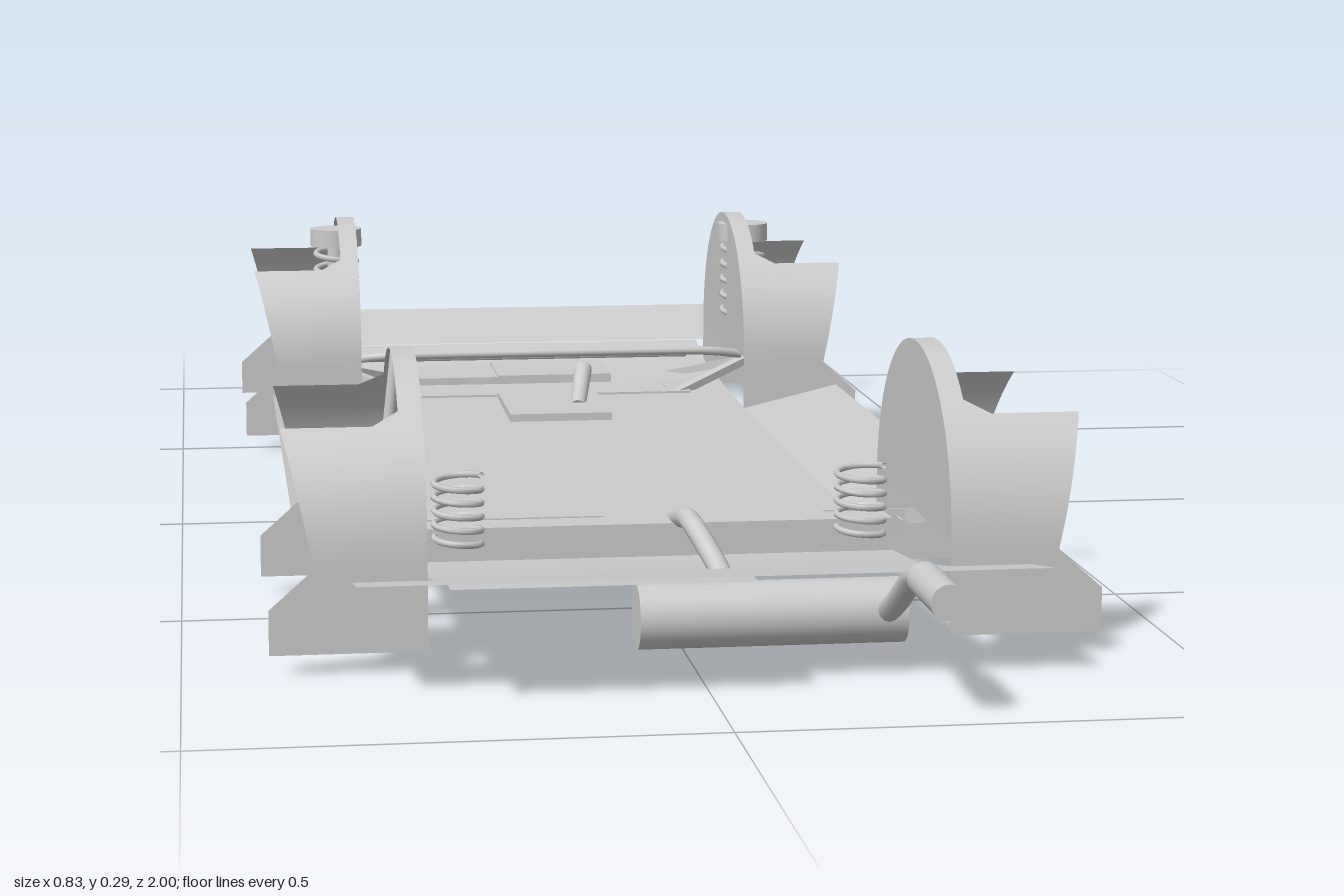
import * as THREE from 'three';

const mat = new THREE.MeshStandardMaterial({ color: 0xcccccc, side: THREE.DoubleSide });
const V = (x, y, z) => new THREE.Vector3(x, y, z);

export function createModel() {
  const root = new THREE.Group();

  function add(name, geo, x = 0, y = 0, z = 0) {
    const m = new THREE.Mesh(geo, mat);
    m.name = name;
    m.position.set(x, y, z);
    root.add(m);
    return m;
  }
  // Box given by its minimum and maximum corners
  function box(name, x0, x1, y0, y1, z0, z1) {
    return add(name, new THREE.BoxGeometry(x1 - x0, y1 - y0, z1 - z0), (x0 + x1) / 2, (y0 + y1) / 2, (z0 + z1) / 2);
  }
  // Round rod (or cone) between two points
  function rod(name, a, b, r0, r1 = r0, sides = 16) {
    const m = add(name, new THREE.CylinderGeometry(r1, r0, a.distanceTo(b), sides));
    m.position.copy(a).lerp(b, 0.5);
    m.quaternion.setFromUnitVectors(V(0, 1, 0), b.clone().sub(a).normalize());
    return m;
  }
  // Square bar between two points
  function bar(name, a, b, w, h) {
    const m = add(name, new THREE.BoxGeometry(w, h, a.distanceTo(b)));
    m.position.copy(a).lerp(b, 0.5);
    m.lookAt(b);
    return m;
  }
  function tube(name, pts, r, n = 40) {
    return add(name, new THREE.TubeGeometry(new THREE.CatmullRomCurve3(pts, false, 'catmullrom', 0.3), n, r, 12));
  }
  function spring(name, x, z, y0, y1, R, turns, r) {
    const pts = [];
    for (let i = 0; i <= turns * 12; i++) {
      const a = i * Math.PI / 6;
      pts.push(V(x + R * Math.cos(a), y0 + (y1 - y0) * i / (turns * 12), z + R * Math.sin(a)));
    }
    add(name, new THREE.TubeGeometry(new THREE.CatmullRomCurve3(pts), turns * 20, r, 6));
  }
  // Sheet made of cross rows: [x0, y0, x1, y1, z]
  function sheet(name, rows) {
    const pos = [], idx = [];
    rows.forEach(([x0, y0, x1, y1, z], i) => {
      pos.push(x0, y0, z, x1, y1, z);
      const k = 2 * i;
      if (i) idx.push(k - 2, k, k - 1, k - 1, k, k + 1);
    });
    const g = new THREE.BufferGeometry();
    g.setAttribute('position', new THREE.Float32BufferAttribute(pos, 3));
    g.setIndex(idx);
    g.computeVertexNormals();
    return add(name, g);
  }
  const flatRow = (z, y, w = 0.255) => [-w, y, w, y, z];

  // Floor pan with wide end panels
  sheet('floorPan', [[-0.87, 0.085], [-0.78, 0.066], [-0.6, 0.058], [-0.44, 0.055], [0.34, 0.055],
    [0.5, 0.06], [0.62, 0.073], [0.77, 0.102], [0.86, 0.118]].map(([z, y]) => flatRow(z, y)));
  sheet('frontPanel', [flatRow(-1, 0.12, 0.335), flatRow(-0.875, 0.085, 0.335)]);
  sheet('rearPanel', [flatRow(0.77, 0.102, 0.335), flatRow(0.86, 0.118, 0.335)]);
  sheet('rearLip', [[-0.25, 0.118, 0.04, 0.118, 0.86], [-0.25, 0.122, 0.04, 0.122, 0.9]]);

  for (const s of [1, -1]) {
    // Upturned floor sides
    sheet('floorSide', [-0.44, 0.34].map(z => [s * 0.255, 0.055, s * 0.38, 0.085, z]));

    // Wheel arches: half-round wall, liners and flared flaps
    for (const c of [0.565, -0.655]) {
      const R = 0.177;
      const wall = add('archWall', new THREE.CircleGeometry(R, 40, 0, Math.PI), s * 0.26, 0.12, c);
      wall.rotation.y = Math.PI / 2;
      for (const d of [1, -1]) {
        const rows = [[0.415, 0.025], [0.415, 0.07], [0.37, 0.11]].map(([x, y]) => [s * 0.26, y, s * x, y, c + d * R]);
        const arc = (a, x) => {
          const y = 0.12 + R * Math.sin(a);
          return [s * 0.26, y, s * x, y, c + d * R * Math.cos(a)];
        };
        for (let i = 0; i <= 8; i++) rows.push(arc(0.75 * i / 8, 0.372 + 0.028 * i / 8));
        sheet('archLiner', rows);
        const rim = [];
        for (let i = 0; i <= 8; i++) rim.push(arc(0.75 + (Math.PI / 2 - 0.75) * i / 8, i ? 0.284 : 0.31));
        sheet('archRim', rim);
      }
    }

    // Front strut, coil spring, top mount and lower arm
    const zs = -0.645;
    rod('strut', V(s * 0.285, 0.1, zs), V(s * 0.285, 0.28, zs), 0.012);
    spring('strutSpring', s * 0.285, zs, 0.15, 0.26, 0.028, 5, 0.004);
    rod('strutMount', V(s * 0.285, 0.26, zs), V(s * 0.285, 0.284, zs), 0.035, 0.035, 24);
    bar('lowerArm', V(s * 0.18, 0.055, -0.73), V(s * 0.29, 0.09, zs), 0.014, 0.01);
    bar('lowerArm', V(s * 0.18, 0.055, -0.57), V(s * 0.29, 0.09, zs), 0.014, 0.01);

    // Rear spring, damper and trailing arm
    spring('rearSpring', s * 0.213, 0.525, 0.085, 0.157, 0.025, 5, 0.0035);
    rod('damper', V(s * 0.285, 0.1, 0.52), V(s * 0.285, 0.2, 0.52), 0.013, 0.01);
    rod('damperRod', V(s * 0.285, 0.2, 0.52), V(s * 0.275, 0.29, 0.52), 0.006);
    bar('trailingArm', V(s * 0.235, 0.05, 0.27), V(s * 0.265, 0.11, 0.56), 0.022, 0.016);
    bar('hubCarrier', V(s * 0.25, 0.095, 0.53), V(s * 0.305, 0.095, 0.53), 0.05, 0.02);
  }

  // Rear axle beam
  box('axleBeam', -0.25, 0.25, 0.065, 0.1, 0.48, 0.52);

  // Front subframe ring, oil pan and steering rack
  for (const s of [1, -1]) box('subframeRail', s * 0.185 - 0.015, s * 0.185 + 0.015, 0.035, 0.06, -0.79, -0.56);
  for (const z of [-0.775, -0.575]) box('subframeCrossbar', -0.17, 0.17, 0.035, 0.06, z - 0.015, z + 0.015);
  box('oilPan', -0.06, 0.1, 0.015, 0.072, -0.78, -0.65);
  box('engineTray', -0.17, -0.06, 0.04, 0.07, -0.75, -0.65);
  tube('steeringRack', [V(-0.28, 0.1, -0.63), V(-0.2, 0.11, -0.605), V(0.2, 0.11, -0.605), V(0.28, 0.1, -0.63)], 0.006);
  rod('antiRollBar', V(-0.23, 0.075, -0.805), V(0.23, 0.075, -0.805), 0.005);

  // Gearbox and lever
  box('gearbox', -0.07, 0.065, 0.012, 0.065, -0.545, -0.37);
  rod('gearLever', V(0.03, 0.06, -0.455), V(0.045, 0.1, -0.525), 0.01, 0.012);

  // Fuel tank
  box('fuelTank', -0.24, -0.045, 0.028, 0.086, 0.155, 0.405);

  // Exhaust line from gearbox to tailpipe
  tube('exhaustPipe', [V(0, 0.042, -0.38), V(0.02, 0.035, -0.16), V(0.025, 0.04, 0.02), V(0.025, 0.045, 0.34),
    V(0.025, 0.09, 0.46), V(0.025, 0.112, 0.56), V(0.045, 0.075, 0.63), V(0.05, 0.045, 0.7)], 0.011, 70);
  rod('resonator', V(0.02, 0.024, -0.16), V(0.025, 0.024, 0.02), 0.019, 0.019, 24);
  rod('muffler', V(-0.05, 0.045, 0.705), V(0.22, 0.045, 0.705), 0.033, 0.033, 32);
  tube('tailpipe', [V(0.2, 0.045, 0.72), V(0.2, 0.068, 0.77), V(0.198, 0.11, 0.85), V(0.197, 0.12, 0.9), V(0.197, 0.121, 0.95)], 0.012);
  rod('tailpipeTip', V(0.197, 0.12, 0.9), V(0.197, 0.12, 1), 0.017, 0.017, 24);

  return root;
}
